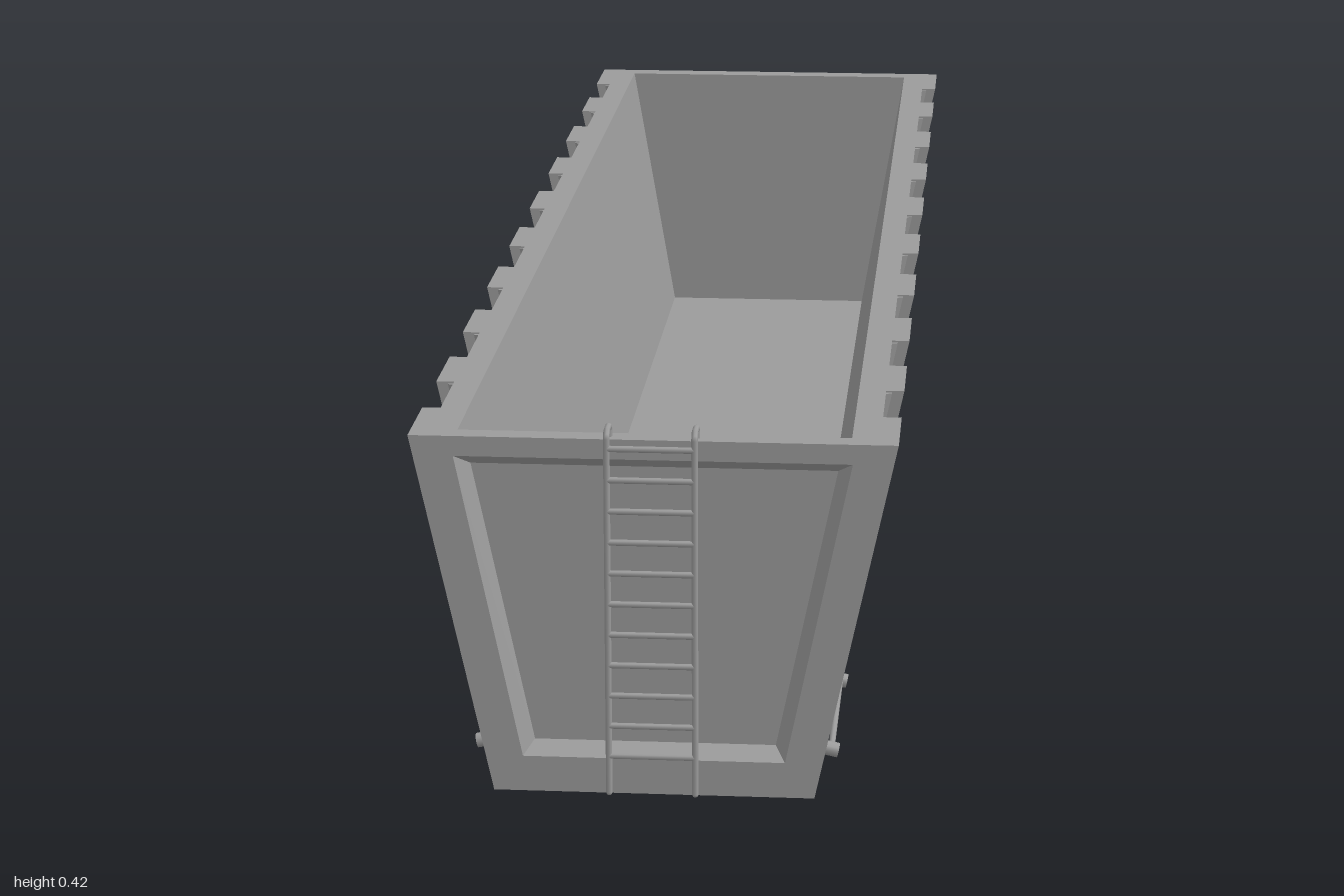
import * as THREE from 'three';

const SLOPE = 0.215; // outward lean of the side walls
const COLOR = 0x9b9b9b;
const material = new THREE.MeshStandardMaterial({ color: COLOR, flatShading: true, side: THREE.DoubleSide });
const smooth = new THREE.MeshStandardMaterial({ color: COLOR });
const outerX = (y) => 0.174 + SLOPE * y;
const panelX = (y) => outerX(y) - 0.025;

function add(parent, name, geometry, mat = material) {
  const mesh = new THREE.Mesh(geometry, mat);
  mesh.name = name;
  parent.add(mesh);
  return mesh;
}

// Section in x/y, extruded from z0 to z1
function prism(points, z0, z1) {
  const shape = new THREE.Shape(points.map(([x, y]) => new THREE.Vector2(x, y)));
  const g = new THREE.ExtrudeGeometry(shape, { depth: z1 - z0, bevelEnabled: false });
  return g.translate(0, 0, z0);
}

// U section given as one side from outer bottom to inner bottom
function channel(side) {
  const [outBottom, outTop, inTop, inBottom] = side;
  const m = ([x, y]) => [-x, y];
  return [m(outBottom), outBottom, outTop, inTop, inBottom, m(inBottom), m(inTop), m(outTop)];
}

// Upright trapezoid loop: bottom y and half width, top y and half width
const trapezoid = (y0, w0, y1, w1, z) => [[-w0, y0, z], [w0, y0, z], [w1, y1, z], [-w1, y1, z]];

// Skin a stack of four-point loops, closing both ends
function loft(loops) {
  const pos = [];
  const quad = (a, b, c, d) => pos.push(...a, ...b, ...c, ...a, ...c, ...d);
  for (let i = 0; i + 1 < loops.length; i++)
    for (let j = 0; j < 4; j++) {
      const k = (j + 1) % 4;
      quad(loops[i][j], loops[i][k], loops[i + 1][k], loops[i + 1][j]);
    }
  quad(...loops[loops.length - 1]);
  quad(...[...loops[0]].reverse());
  const g = new THREE.BufferGeometry();
  g.setAttribute('position', new THREE.Float32BufferAttribute(pos, 3));
  g.computeVertexNormals();
  return g;
}

// Bevelled strip up the wall beside a rib; s is the wall side, d points into the bay
function sideStrip(s, d, z) {
  const section = (y) => {
    const points = [
      [s * (panelX(y) - 0.002), y, z],
      [s * (panelX(y) + 0.012), y, z],
      [s * (panelX(y) + 0.012), y, z + d * 0.003],
      [s * (panelX(y) - 0.002), y, z + d * 0.009],
    ];
    return s * d > 0 ? points : points.reverse();
  };
  return loft([section(0.022), section(0.398)]);
}

export function createModel() {
  const model = new THREE.Group();
  model.name = 'openContainer';

  // Hollow trough
  const shell = channel([[panelX(0.02), 0.02], [panelX(0.4), 0.4], [0.21, 0.4], [0.148, 0.04]]);
  add(model, 'troughShell', prism(shell, -0.972, 0.955));

  // Ribs wrapping the sides and underside
  const ribSection = channel([[outerX(0), 0], [outerX(0.4), 0.4], [panelX(0.4), 0.4], [panelX(0.02), 0.02]]);
  const ribs = [[0.875, 0.955]];
  for (let i = 0; i < 8; i++) {
    const z = 0.722 - i * 0.208;
    ribs.push([z - 0.051, z + 0.051]);
  }
  ribs.push([-0.972, -0.885]);
  ribs.forEach(([z0, z1]) => add(model, 'rib', prism(ribSection, z0, z1)));

  // Rails, top lip and edge strips framing the pockets in each bay
  const raised = (y, half, height, s) => [
    [s * (panelX(y - half) - 0.002), y - half],
    [s * (panelX(y - half * 0.7) + height), y - half * 0.7],
    [s * (panelX(y + half * 0.7) + height), y + half * 0.7],
    [s * (panelX(y + half) - 0.002), y + half],
  ];
  for (let i = 0; i + 1 < ribs.length; i++) {
    const z1 = ribs[i][0], z0 = ribs[i + 1][1];
    for (const s of [-1, 1]) {
      for (const y of [0.148, 0.281]) add(model, 'bayRail', prism(raised(y, 0.013, 0.013, s), z0, z1));
      const lip = [[panelX(0.383), 0.383], [panelX(0.389) + 0.005, 0.389], [panelX(0.4) + 0.005, 0.4], [panelX(0.4), 0.4]];
      add(model, 'bayTopLip', prism(lip.map(([x, y]) => [s * x, y]), z0, z1));
      add(model, 'bayEdgeStrip', sideStrip(s, 1, z0));
      add(model, 'bayEdgeStrip', sideStrip(s, -1, z1));
    }
  }

  // End walls with a bevelled recess
  const endWall = (thickness, depth) => loft([
    trapezoid(0, outerX(0), 0.4, outerX(0.4), 0),
    trapezoid(0, outerX(0), 0.4, outerX(0.4), thickness),
    trapezoid(0.04, 0.142, 0.378, 0.212, thickness),
    trapezoid(0.053, 0.131, 0.365, 0.196, thickness - depth),
  ]);
  add(model, 'frontWall', endWall(0.024, 0.019)).position.z = 0.955;
  const back = add(model, 'backWall', endWall(0.028, 0.02));
  back.position.z = -0.972;
  back.rotation.y = Math.PI;

  // Thin rod with a peg on every rib, low on both sides
  const pegZ = ribs.map(([a, b], i) => (i === 0 ? 0.935 : i === 9 ? -0.95 : (a + b) / 2));
  const tilt = Math.atan(SLOPE);
  for (const s of [-1, 1]) {
    const rod = add(model, 'sideRod', new THREE.CylinderGeometry(0.0035, 0.0035, 1.885, 8), smooth);
    rod.rotation.x = Math.PI / 2;
    rod.position.set(s * (outerX(0.042) + 0.007), 0.041, -0.0075);
    for (const z of pegZ) {
      const peg = add(model, 'rodPeg', new THREE.CylinderGeometry(0.008, 0.008, 0.018, 10), smooth);
      peg.rotation.z = s * (-Math.PI / 2 - tilt);
      peg.position.set(s * (outerX(0.042) + 0.006), 0.041, z);
    }
  }

  // Ladder hooked over the front wall
  const ladder = new THREE.Group();
  ladder.name = 'ladder';
  model.add(ladder);
  for (const s of [-1, 1]) {
    const path = new THREE.CurvePath();
    const pts = [[0.008, 0.9965], [0.408, 0.9965], [0.4135, 0.991], [0.4135, 0.972], [0.408, 0.9665], [0.396, 0.9665]]
      .map(([y, z]) => new THREE.Vector3(s * 0.0465, y, z));
    for (let i = 0; i + 1 < pts.length; i++) path.add(new THREE.LineCurve3(pts[i], pts[i + 1]));
    add(ladder, 'ladderRail', new THREE.TubeGeometry(path, 120, 0.0035, 8), smooth);
    // Closed foot of the rail
    const foot = add(ladder, 'ladderFoot', new THREE.SphereGeometry(0.0035, 8, 6), smooth);
    foot.position.copy(pts[0]);
  }
  for (let i = 0; i < 11; i++) {
    const rung = add(ladder, 'ladderRung', new THREE.CylinderGeometry(0.0035, 0.0035, 0.093, 8), smooth);
    rung.rotation.z = Math.PI / 2;
    rung.position.set(0, 0.05 + i * 0.0345, 0.9965);
  }
  return model;
}
